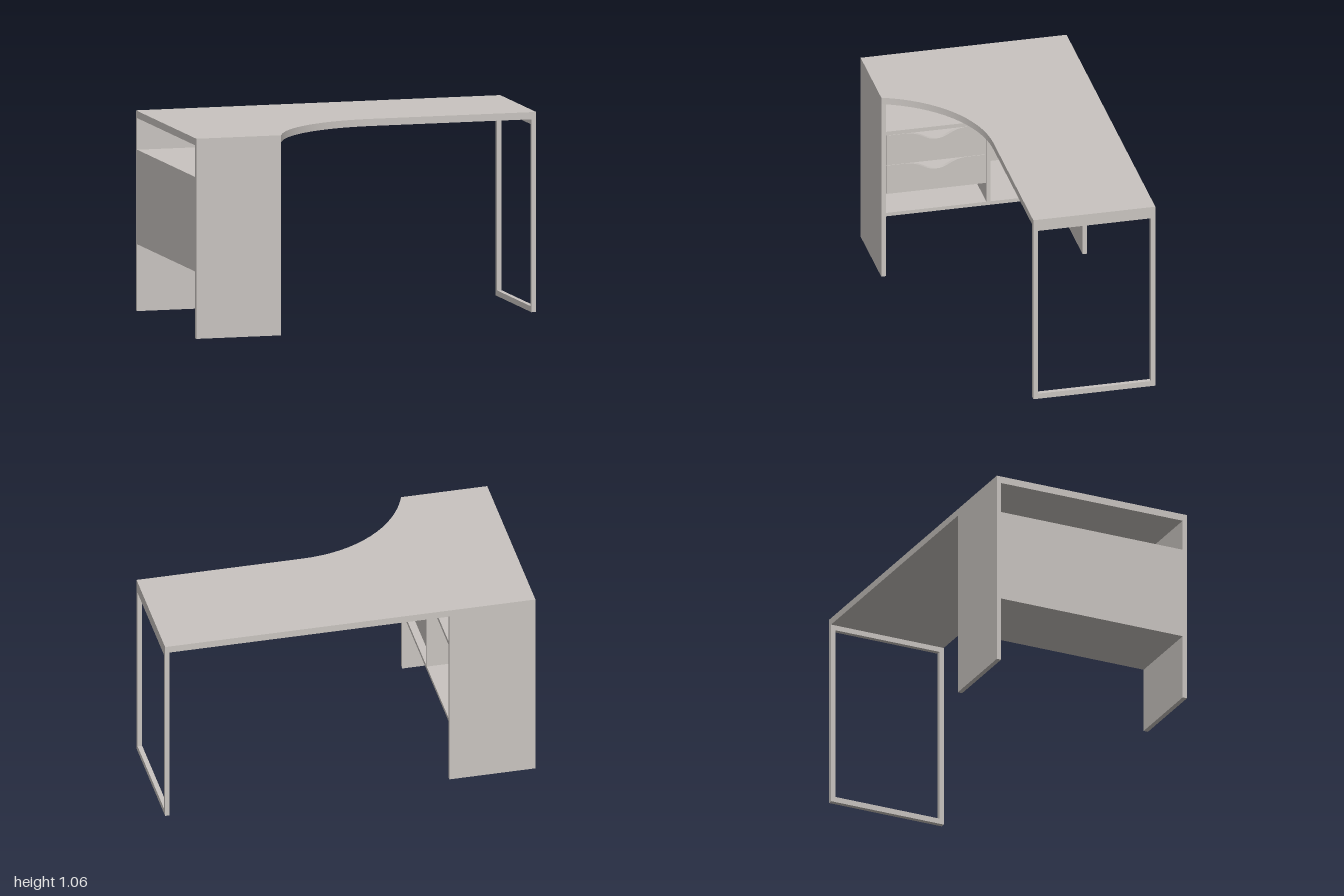
import * as THREE from 'three';
import { toCreasedNormals } from 'three/addons/utils/BufferGeometryUtils.js';

export function createModel() {
  const desk = new THREE.Group();
  desk.name = 'cornerDesk';
  const paint = new THREE.MeshStandardMaterial({ color: 0xc9c4c0 });
  paint.name = 'warm grey';

  const add = (parent, name, geometry) => {
    const mesh = new THREE.Mesh(geometry, paint);
    mesh.name = name;
    parent.add(mesh);
  };
  // Box given by its low and high corner on each axis
  const box = (parent, name, [x0, x1], [y0, y1], [z0, z1]) => {
    const g = new THREE.BoxGeometry(x1 - x0, y1 - y0, z1 - z0);
    g.translate((x0 + x1) / 2, (y0 + y1) / 2, (z0 + z1) / 2);
    add(parent, name, g);
  };

  const D = 0.557, H = 1.063, under = 1.025; // half depth, height, underside of top
  const inner = -0.535;                      // open face of the cabinet
  const frontEdge = 0.103;                   // front of the narrow wing

  // Tabletop with a concave arc in the inside corner (shape y is -z)
  const R = 0.67;
  const end = Math.asin((0.1 - inner) / R);
  const top = new THREE.Shape();
  top.moveTo(-1, D);
  top.lineTo(-1, -D);
  for (let i = 0; i <= 16; i++) {
    const a = end * (1 - i / 16);
    const z = i === 0 ? D : frontEdge + R * (1 - Math.cos(a));
    top.lineTo(0.1 - R * Math.sin(a), -z);
  }
  top.lineTo(1, -frontEdge);
  top.lineTo(1, D);
  top.closePath();
  const topGeo = new THREE.ExtrudeGeometry(top, { depth: H - under, bevelEnabled: false });
  topGeo.rotateX(-Math.PI / 2).translate(0, under, 0);
  add(desk, 'tabletop', toCreasedNormals(topGeo, 0.4));

  // Open rectangular leg frame (shape x is -z)
  const frame = new THREE.Shape();
  frame.moveTo(-frontEdge, 0).lineTo(D, 0).lineTo(D, under).lineTo(-frontEdge, under).closePath();
  const hole = new THREE.Path();
  hole.moveTo(-0.079, 0.03).lineTo(-0.079, 0.997).lineTo(0.532, 0.997).lineTo(0.532, 0.03).closePath();
  frame.holes.push(hole);
  const frameGeo = new THREE.ExtrudeGeometry(frame, { depth: 0.025, bevelEnabled: false });
  frameGeo.rotateY(Math.PI / 2).translate(0.975, 0, 0);
  add(desk, 'legFrame', frameGeo);

  // Cabinet: two end panels, two shelves, closed back and a divider
  const cabinet = new THREE.Group();
  cabinet.name = 'cabinet';
  desk.add(cabinet);
  const span = [-0.532, 0.532];
  box(cabinet, 'frontPanel', [-1, inner], [0, under], [0.532, D]);
  box(cabinet, 'rearPanel', [-1, inner], [0, under], [-D, -0.532]);
  box(cabinet, 'upperShelf', [-0.98, inner], [0.835, 0.857], span);
  box(cabinet, 'lowerShelf', [-0.98, inner], [0.355, 0.375], span);
  box(cabinet, 'cabinetBack', [-1, -0.98], [0.355, 0.857], span);
  box(cabinet, 'divider', [-0.98, inner], [0.375, 0.835], [-0.034, -0.012]);

  // Drawers: front with a scooped grip, and an open tray behind it
  for (const [y0, y1] of [[0.487, 0.655], [0.657, 0.833]]) {
    const drawer = new THREE.Group();
    drawer.name = 'drawer';
    cabinet.add(drawer);
    const low = y1 - 0.049;
    const face = new THREE.Shape();
    face.moveTo(-0.529, y0);
    face.lineTo(0.01, y0);
    face.lineTo(0.01, y1);
    face.lineTo(-0.09, y1);
    face.bezierCurveTo(-0.18, y1, -0.19, low, -0.26, low);
    face.bezierCurveTo(-0.33, low, -0.34, y1, -0.43, y1);
    face.lineTo(-0.529, y1);
    face.closePath();
    const faceGeo = new THREE.ExtrudeGeometry(face, { depth: 0.02, bevelEnabled: false, curveSegments: 10 });
    faceGeo.rotateY(Math.PI / 2).translate(inner - 0.021, 0, 0);
    add(drawer, 'drawerFront', toCreasedNormals(faceGeo, 0.4));

    const x = [-0.965, inner - 0.021], rim = y1 - 0.06;
    box(drawer, 'drawerBottom', x, [y0, y0 + 0.015], [-0.005, 0.525]);
    box(drawer, 'drawerSide', x, [y0 + 0.015, rim], [-0.005, 0.01]);
    box(drawer, 'drawerSide', x, [y0 + 0.015, rim], [0.51, 0.525]);
    box(drawer, 'drawerBack', [-0.965, -0.95], [y0 + 0.015, rim], [0.01, 0.51]);
  }
  return desk;
}
